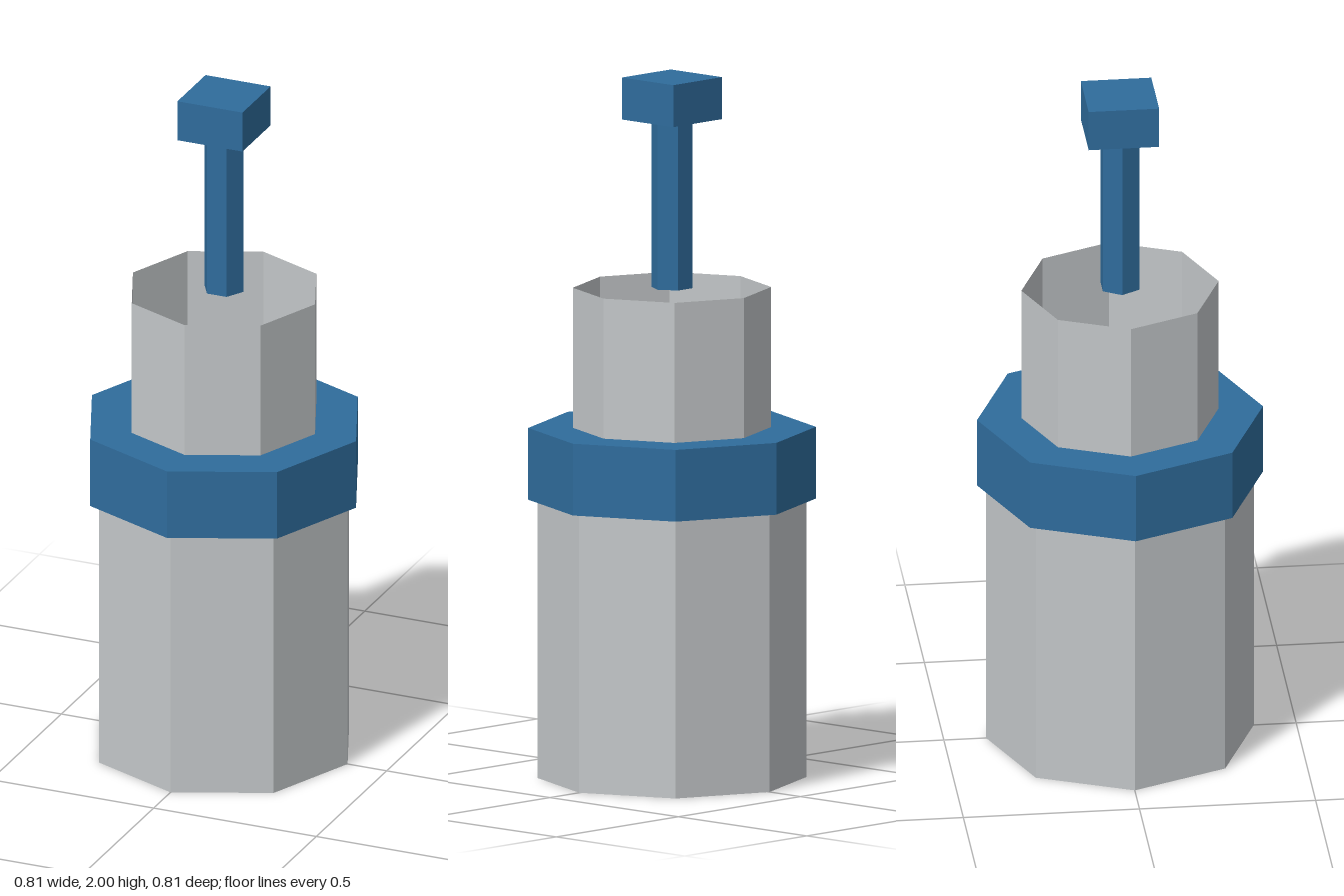
import * as THREE from 'three';

export function createModel() {
  const group = new THREE.Group();
  const blue = new THREE.MeshStandardMaterial({ color: 0x2f6c9c, flatShading: true });
  blue.name = 'blue';
  const grey = new THREE.MeshStandardMaterial({ color: 0xc2c6c8, flatShading: true, side: THREE.DoubleSide });
  grey.name = 'light grey';

  const add = (name, geometry, material, bottom, top) => {
    const mesh = new THREE.Mesh(geometry, material);
    mesh.name = name;
    mesh.position.y = (bottom + top) / 2;
    group.add(mesh);
  };
  // Upright prism, corner on +z unless turned by start
  const prism = (name, radius, sides, bottom, top, material, open = false, start = 0) =>
    add(name, new THREE.CylinderGeometry(radius, radius, top - bottom, sides, 1, open, start), material, bottom, top);

  // Hollow octagonal barrel and neck, open at their ends
  prism('body', 0.38, 8, 0, 0.8, grey, true);
  prism('neck', 0.28, 8, 1.0, 1.4, grey, true);

  // Solid octagonal collar between them
  prism('collar', 0.406, 8, 0.795, 1.0, blue);

  // Hexagonal plunger rod with a square knob
  prism('plungerRod', 0.06, 6, 1.4, 1.88, blue, false, Math.PI / 6);
  add('plungerKnob', new THREE.BoxGeometry(0.2, 0.12, 0.2), blue, 1.88, 2.0);

  return group;
}
